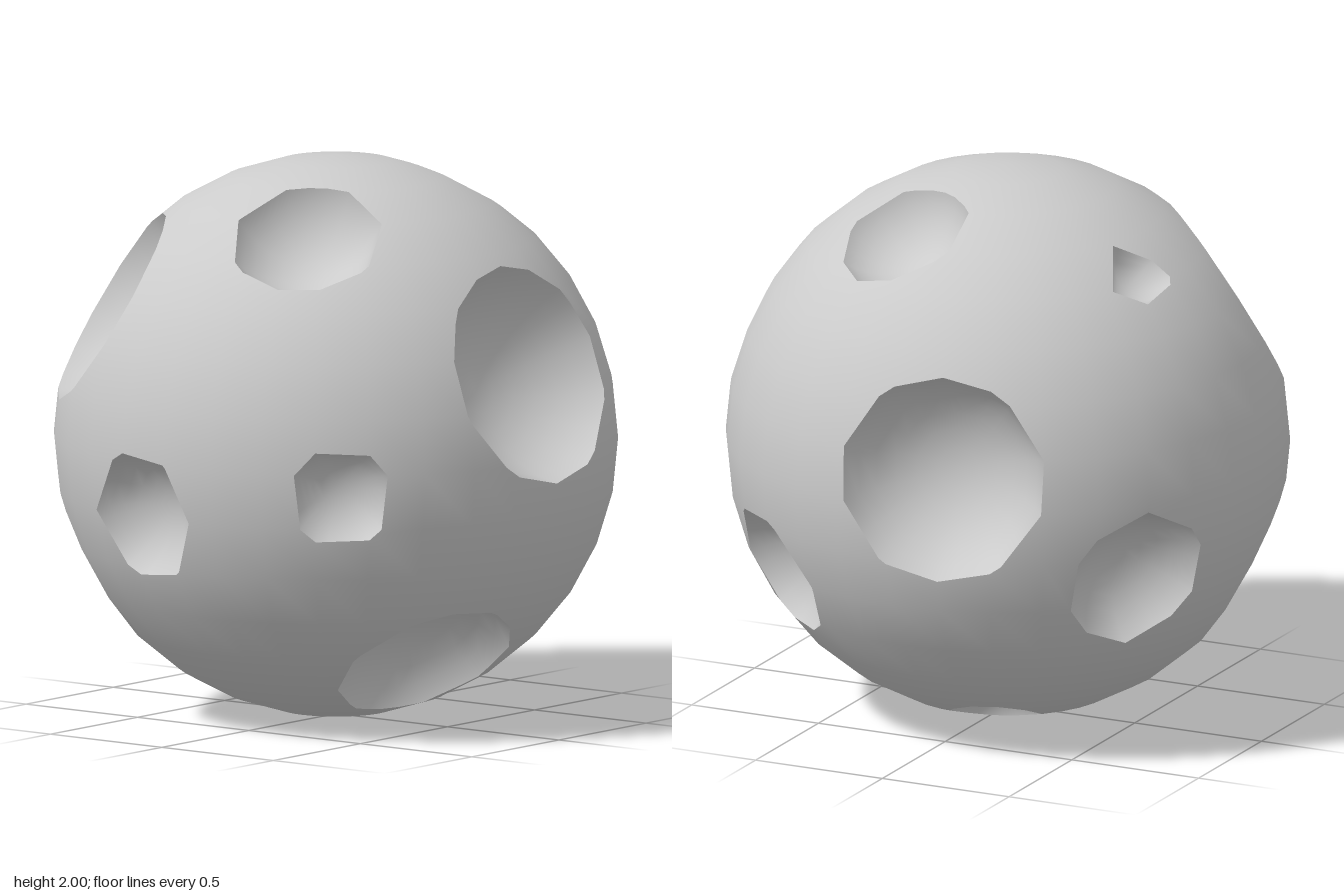
import * as THREE from 'three';

const V = (x, y, z) => new THREE.Vector3(x, y, z);

// Craters: direction from the ball's centre, rim radius
const CRATERS = [
  [-0.59, 0.46, 0.52, 0.39],
  [0.26, 0.77, 0.5, 0.275],
  [-0.125, -0.19, 0.94, 0.245],
  [0.61, -0.075, 0.755, 0.205],
  [-0.72, -0.445, 0.386, 0.363],
  [0.555, -0.735, 0.195, 0.335],
  [0.86, 0.29, 0, 0.408],
  [0.55, -0.39, -0.69, 0.26],
  [0.185, 0.84, -0.46, 0.25],
  [-0.625, 0.728, -0.235, 0.15],
  [-0.185, 0.1, -0.887, 0.38],
  [-0.752, -0.284, -0.511, 0.28],
  [-0.124, -0.907, -0.36, 0.17],
].map(([x, y, z, r]) => ({
  axis: V(x, y, z).normalize(), r, offset: Math.sqrt(1 - r * r), rim: [],
}));

const BOWL_ANGLE = 1.1; // half angle of each bowl's spherical cap
const BOWL_RINGS = 6;

// Cut the rim plane's cap off a convex polygon, remembering the new rim edge
function clip(poly, crater) {
  const height = (p) => p.dot(crater.axis) - crater.offset;
  const out = [];
  let exit = null, entry = null;
  poly.forEach((a, i) => {
    const b = poly[(i + 1) % poly.length];
    const ha = height(a), hb = height(b);
    if (ha <= 0) out.push(a);
    if ((ha <= 0) !== (hb <= 0)) {
      const p = a.clone().lerp(b, ha / (ha - hb));
      out.push(p);
      if (ha <= 0) exit = p; else entry = p;
    }
  });
  if (exit && entry) crater.rim.push([entry, exit]);
  return out;
}

// Mesh from a list of triangle corners with a rule for the normals
function makeMesh(name, points, normalAt) {
  const geo = new THREE.BufferGeometry().setFromPoints(points);
  const normals = points.flatMap((p) => normalAt(p).toArray());
  geo.setAttribute('normal', new THREE.Float32BufferAttribute(normals, 3));
  const mesh = new THREE.Mesh(geo, new THREE.MeshStandardMaterial({ color: 0xcccccc }));
  mesh.name = name;
  return mesh;
}

// Outer ball with a round opening for every crater
function makeShell() {
  const pos = new THREE.SphereGeometry(1, 32, 16).toNonIndexed().attributes.position;
  const points = [];
  for (let i = 0; i < pos.count; i += 3) {
    let poly = [0, 1, 2].map((k) => V().fromBufferAttribute(pos, i + k));
    for (const crater of CRATERS) poly = clip(poly, crater);
    for (let k = 1; k < poly.length - 1; k++) points.push(poly[0], poly[k], poly[k + 1]);
  }
  return makeMesh('ballSurface', points, (p) => p.clone().normalize());
}

// Spherical bowl lofted inward from the rim edges
function makeBowl({ axis, r, offset, rim }) {
  const R = r / Math.sin(BOWL_ANGLE);
  const hub = axis.clone().multiplyScalar(offset);
  const centre = axis.clone().multiplyScalar(offset + R * Math.cos(BOWL_ANGLE));
  const at = (edge, ring) => {
    const angle = BOWL_ANGLE * (1 - ring / BOWL_RINGS);
    return hub.clone()
      .addScaledVector(edge.clone().sub(hub), Math.sin(angle) / Math.sin(BOWL_ANGLE))
      .addScaledVector(axis, R * (Math.cos(BOWL_ANGLE) - Math.cos(angle)));
  };
  const points = [];
  for (const [a, b] of rim) {
    for (let k = 0; k < BOWL_RINGS; k++) {
      const a0 = at(a, k), b0 = at(b, k), a1 = at(a, k + 1), b1 = at(b, k + 1);
      points.push(a0, b0, b1);
      if (k < BOWL_RINGS - 1) points.push(a0, b1, a1);
    }
  }
  return makeMesh('craterBowl', points, (p) => centre.clone().sub(p).normalize());
}

export function createModel() {
  const group = new THREE.Group();
  group.name = 'crateredBall';
  CRATERS.forEach((c) => { c.rim = []; });
  group.add(makeShell());
  CRATERS.forEach((c) => group.add(makeBowl(c)));
  group.children.forEach((part) => { part.position.y = 1; });
  return group;
}
